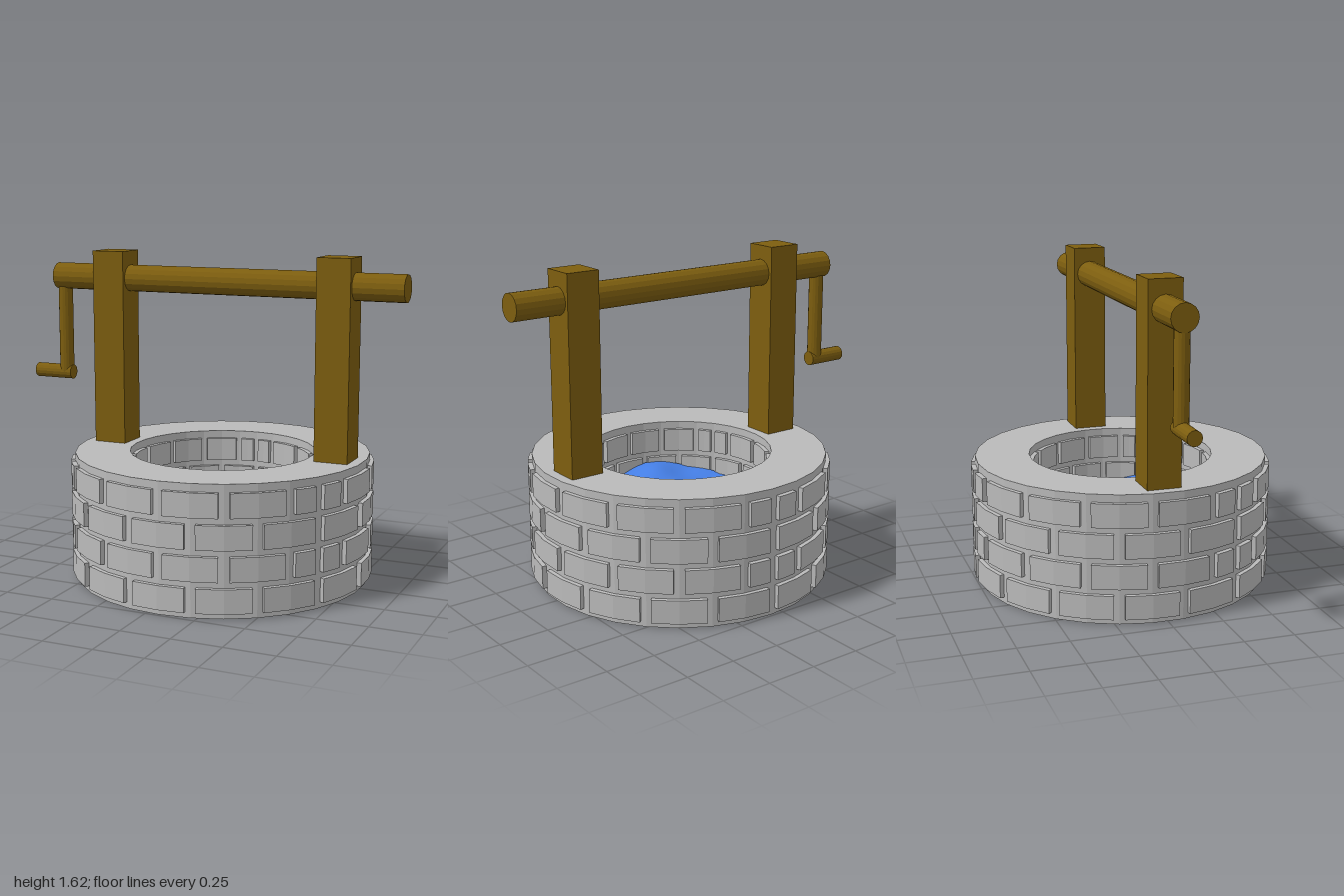
import * as THREE from 'three';
import { mergeGeometries } from 'three/addons/utils/BufferGeometryUtils.js';

const RAD = Math.PI / 180;
const WELL_X = 0.065;

function material(name, color, extra = {}) {
  const m = new THREE.MeshStandardMaterial({ color, ...extra });
  m.name = name;
  return m;
}

// A box bent around the well axis: width in degrees, between two radii
function brick(azimuth, width, y, rIn, rOut) {
  const g = new THREE.BoxGeometry(width, 0.118, rOut - rIn, 2, 1, 1);
  const p = g.attributes.position;
  for (let i = 0; i < p.count; i++) {
    const a = (azimuth + p.getX(i)) * RAD;
    const r = (rIn + rOut) / 2 + p.getZ(i);
    p.setXYZ(i, r * Math.sin(a), y + p.getY(i), r * Math.cos(a));
  }
  g.computeVertexNormals();
  return g;
}

// Four courses in three 120 degree sectors; alternate courses end in half bricks
function brickCourses(rIn, rOut) {
  const parts = [];
  for (let row = 0; row < 4; row++) {
    const y = 0.0875 + row * 0.15;
    for (let s = 0; s < 3; s++) {
      const start = 60 + s * 120;
      if (row % 2 === 0) {
        for (let j = 0; j < 5; j++) parts.push(brick(start + 12 + j * 24, 20, y, rIn, rOut));
      } else {
        for (let j = 1; j < 5; j++) parts.push(brick(start + j * 24, 20, y, rIn, rOut));
        parts.push(brick(start + 6, 8.5, y, rIn, rOut), brick(start + 114, 8.5, y, rIn, rOut));
      }
    }
  }
  return mergeGeometries(parts);
}

function waterSurface() {
  const g = new THREE.RingGeometry(0.001, 0.447, 60, 16);
  g.rotateX(-Math.PI / 2);
  const p = g.attributes.position;
  for (let i = 0; i < p.count; i++) {
    const x = p.getX(i), z = p.getZ(i);
    const wave = 0.022 * Math.sin(9 * x + 5 * z + 0.6)
      + 0.016 * Math.sin(13 * z - 7 * x + 1.1)
      + 0.009 * Math.sin(21 * x + 11 * z) * Math.cos(17 * z - 6 * x);
    p.setY(i, 0.385 + wave);
  }
  g.computeVertexNormals();
  return g;
}

export function createModel() {
  const stone = material('stone grey', 0xbababa, { flatShading: true });
  const wood = material('wood brown', 0x7d5e0f, { flatShading: true });
  const water = material('water blue', 0x457fe6, { side: THREE.DoubleSide });

  const model = new THREE.Group();
  model.name = 'well';
  const add = (parent, name, geometry, mat, x = 0, y = 0, z = 0) => {
    const mesh = new THREE.Mesh(geometry, mat);
    mesh.name = name;
    mesh.position.set(x, y, z);
    parent.add(mesh);
    return mesh;
  };

  // Round stone base
  const base = new THREE.Group();
  base.name = 'stoneBase';
  base.position.x = WELL_X;
  model.add(base);
  const profile = [[0.738, 0], [0.738, 0.635], [0.465, 0.635], [0.465, 0], [0.738, 0]]
    .map(([r, y]) => new THREE.Vector2(r, y));
  add(base, 'wall', new THREE.LatheGeometry(profile, 30), stone);
  add(base, 'outerBricks', brickCourses(0.72, 0.759), stone);
  add(base, 'innerBricks', brickCourses(0.442, 0.48), stone);
  add(base, 'water', waterSurface(), water);

  // Posts standing on the rim
  for (const [name, side] of [['leftPost', 1], ['rightPost', -1]]) {
    add(model, name, new THREE.BoxGeometry(0.17, 0.985, 0.168), wood,
      WELL_X + side * 0.598, 1.1235, -0.004);
  }

  // Roller beam and crank
  const rod = (radius, length) => new THREE.CylinderGeometry(radius, radius, length, 16);
  add(model, 'rollerBeam', rod(0.067, 1.865).rotateZ(Math.PI / 2), wood, 0.0675, 1.478, -0.004);
  const crank = new THREE.Group();
  crank.name = 'crank';
  model.add(crank);
  add(crank, 'crankArm', rod(0.037, 0.5), wood, -0.828, 1.225, -0.004);
  add(crank, 'crankHandle', rod(0.037, 0.21).rotateZ(Math.PI / 2), wood, -0.895, 0.975, -0.004);

  return model;
}
